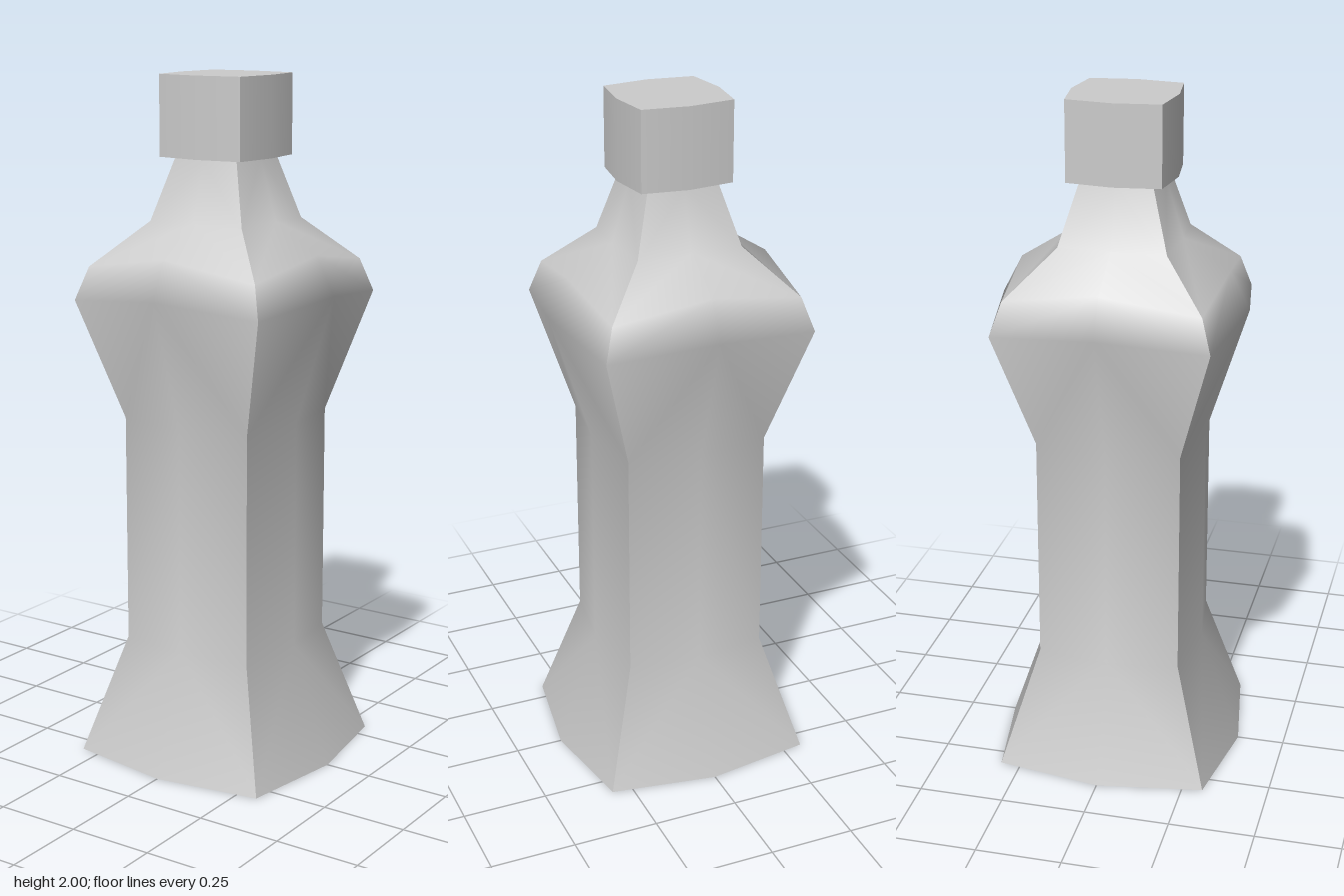
import * as THREE from 'three';
import { mergeGeometries } from 'three/addons/utils/BufferGeometryUtils.js';

// Cross-section: [mid-side radius, mid-side height, corner half width, corner height]
const BODY = [
  [0.36, 0, 0.31, 0],
  [0.24, 0.35, 0.21, 0.35],
  [0.24, 1.02, 0.21, 1.02],
  [0.36, 1.40, 0.31, 1.37],
  [0.303, 1.51, 0.28, 1.465],
  [0.168, 1.595, 0.155, 1.59],
  [0.115, 1.77, 0.103, 1.77],
];
const CAP = [
  [0.152, 1.77, 0.135, 1.77],
  [0.152, 2, 0.135, 2],
];

function indexed(positions, index) {
  const g = new THREE.BufferGeometry();
  g.setAttribute('position', new THREE.Float32BufferAttribute(positions, 3));
  g.setIndex(index);
  g.computeVertexNormals();
  return g;
}

// One bowed side panel, smooth inside and sharp at its corner edges
function sidePanel(rows) {
  const pos = [], idx = [];
  for (const [m, my, c, cy] of rows) pos.push(-c, cy, c, 0, my, m, c, cy, c);
  for (let r = 0; r < rows.length - 1; r++) {
    const a = r * 3, b = a + 3;
    idx.push(a, a + 1, b + 1, a, b + 1, b);
    idx.push(a + 1, a + 2, b + 1, a + 2, b + 2, b + 1);
  }
  return indexed(pos, idx);
}

// Flat eight-sided end
function endFace([m, y, c], up) {
  const pos = [0, y, 0], idx = [];
  for (let i = 0; i < 8; i++) {
    const r = i % 2 ? c * Math.SQRT2 : m, t = i * Math.PI / 4;
    pos.push(r * Math.sin(t), y, r * Math.cos(t));
    const p = i + 1, q = (i + 1) % 8 + 1;
    if (up) idx.push(0, p, q); else idx.push(0, q, p);
  }
  return indexed(pos, idx);
}

function loft(rows, name, material) {
  const parts = [endFace(rows[0], false), endFace(rows[rows.length - 1], true)];
  for (let i = 0; i < 4; i++) parts.push(sidePanel(rows).rotateY(i * Math.PI / 2));
  const mesh = new THREE.Mesh(mergeGeometries(parts), material);
  mesh.name = name;
  return mesh;
}

export function createModel() {
  const group = new THREE.Group();
  group.name = 'bottle';
  const material = new THREE.MeshStandardMaterial({ color: 0xcccccc });
  group.add(loft(BODY, 'bottleBody', material), loft(CAP, 'bottleCap', material));
  return group;
}
